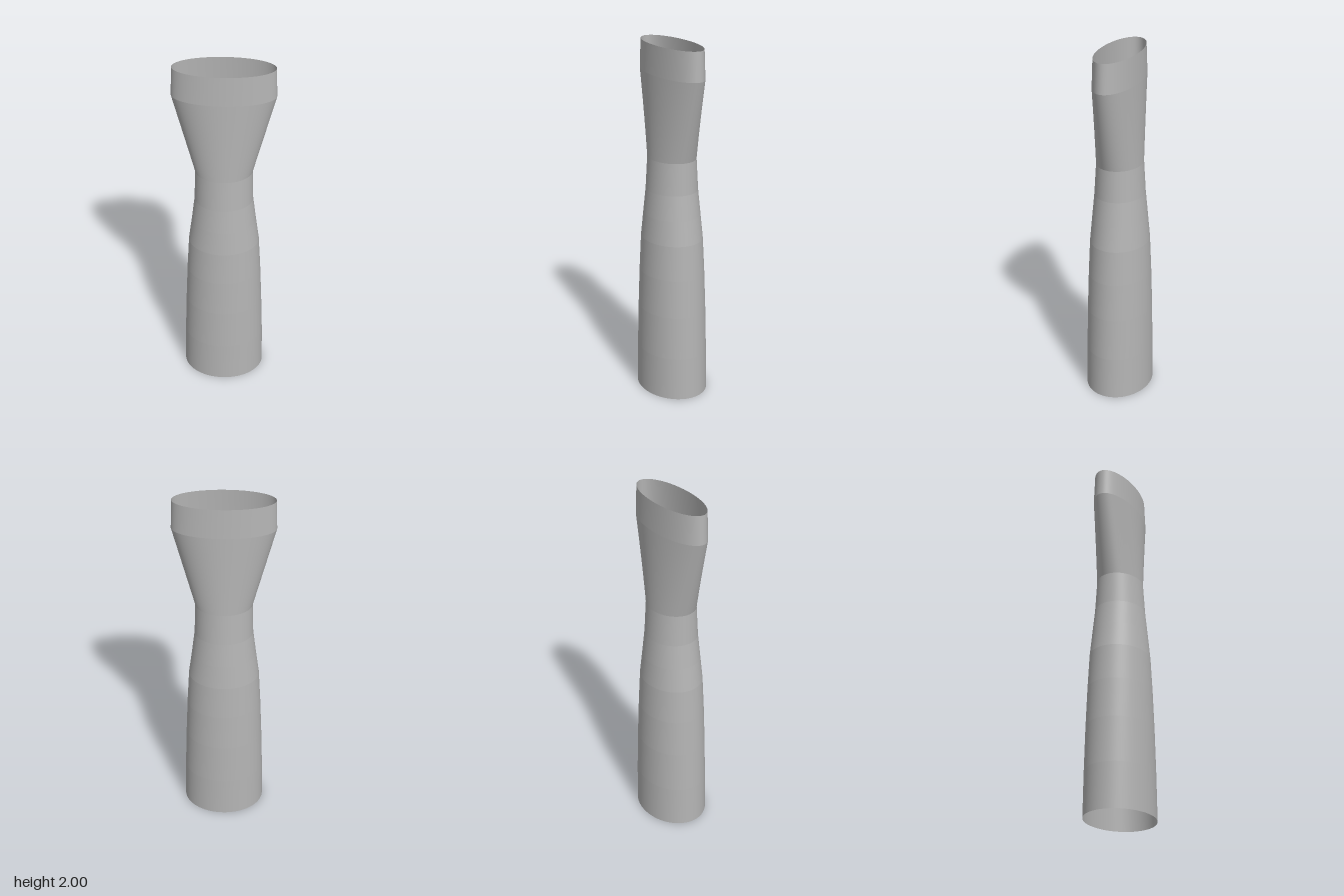
import * as THREE from 'three';

// Elliptical rings from foot to mouth: height, half width (x), half depth (z)
const RINGS = [
  [0, 0.232, 0.187],
  [0.25, 0.227, 0.184],
  [0.5, 0.218, 0.179],
  [0.72, 0.208, 0.172],
  [0.92, 0.196, 0.163],
  [1.06, 0.177, 0.151],
  [1.2, 0.16, 0.138],
  [1.38, 0.155, 0.126],
  [1.84, 0.272, 0.115],
  [2, 0.266, 0.108],
];
const SIDES = 96;

// One open band between two rings: smooth around, creased at its edges
function band(lower, upper) {
  const positions = [];
  const index = [];
  for (const [y, rx, rz] of [lower, upper]) {
    for (let i = 0; i < SIDES; i++) {
      const a = (i / SIDES) * Math.PI * 2;
      positions.push(rx * Math.sin(a), y, rz * Math.cos(a));
    }
  }
  for (let i = 0; i < SIDES; i++) {
    const j = (i + 1) % SIDES;
    index.push(i, j, SIDES + j, i, SIDES + j, SIDES + i);
  }
  const geometry = new THREE.BufferGeometry();
  geometry.setAttribute('position', new THREE.Float32BufferAttribute(positions, 3));
  geometry.setIndex(index);
  geometry.computeVertexNormals();
  return geometry;
}

export function createModel() {
  const model = new THREE.Group();
  model.name = 'flaredTube';
  const grey = new THREE.MeshStandardMaterial({ color: 0xb4b4b4, side: THREE.DoubleSide });
  grey.name = 'grey';

  // Tapering body, narrow waist, flattened flare and straight lip
  for (let i = 0; i < RINGS.length - 1; i++) {
    const mesh = new THREE.Mesh(band(RINGS[i], RINGS[i + 1]), grey);
    const y = RINGS[i][0];
    mesh.name = y >= 1.84 ? 'lip' : y >= 1.38 ? 'flare' : y >= 1.2 ? 'waist' : `body${i + 1}`;
    model.add(mesh);
  }
  return model;
}
